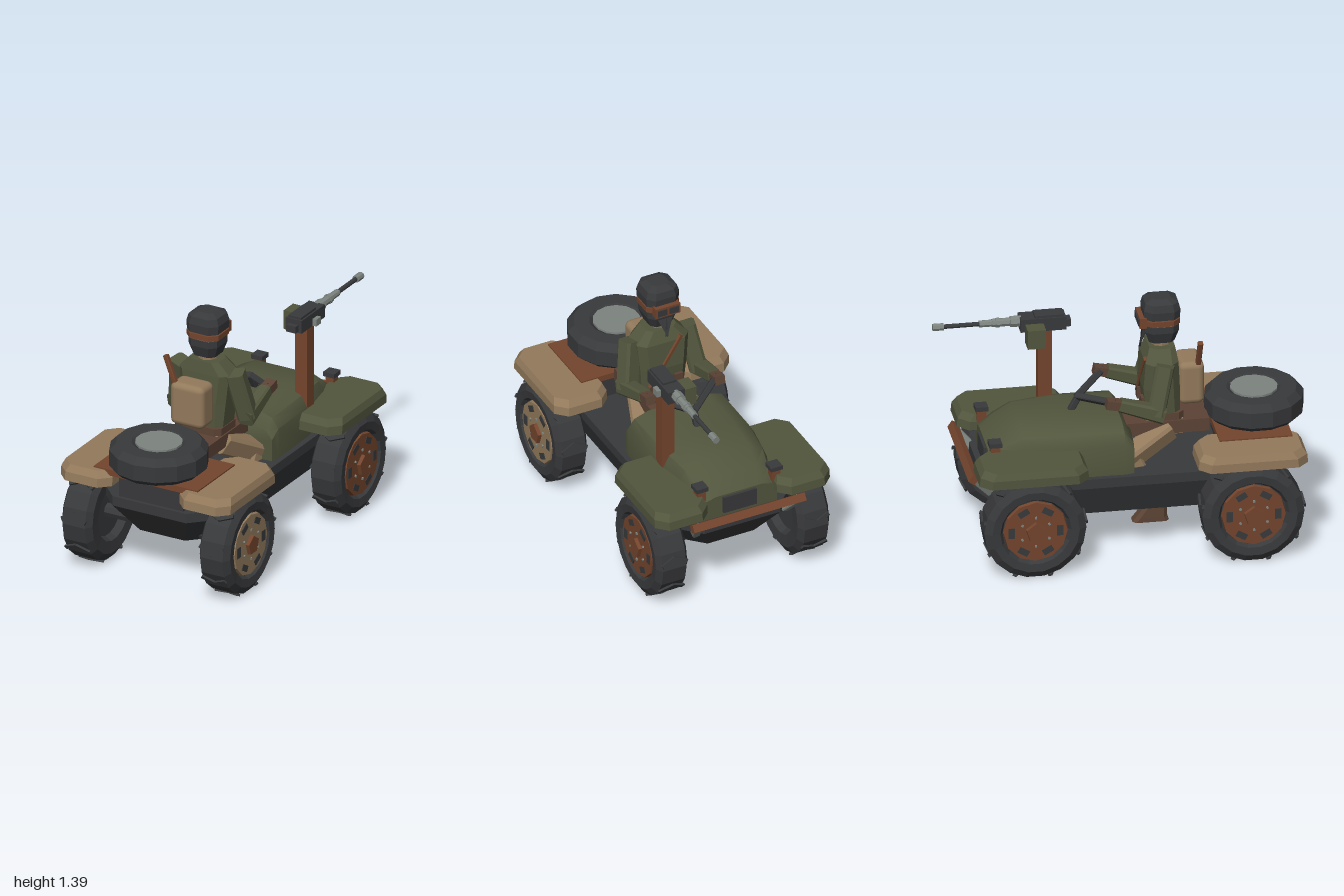
import * as THREE from 'three';
import { toCreasedNormals } from 'three/addons/utils/BufferGeometryUtils.js';
import { RoundedBoxGeometry } from 'three/addons/geometries/RoundedBoxGeometry.js';

const paint = (name, color) => Object.assign(new THREE.MeshStandardMaterial({ color }), { name });
const V = (x, y, z) => new THREE.Vector3(x, y, z);

// Faceted normals for the low-poly style
function facet(geo) {
  const g = geo.index ? geo.toNonIndexed() : geo;
  g.computeVertexNormals();
  return g;
}

// Solid through a list of rings that turn right-handed about the loft direction
function loft(rings) {
  const pos = [], n = rings[0].length;
  const tri = (...p) => p.forEach(v => pos.push(v.x, v.y, v.z));
  for (let r = 0; r < rings.length - 1; r++)
    for (let i = 0; i < n; i++) {
      const j = (i + 1) % n, a = rings[r], b = rings[r + 1];
      tri(a[i], a[j], b[j]);
      tri(a[i], b[j], b[i]);
    }
  const first = rings[0], last = rings[rings.length - 1];
  for (let i = 1; i < n - 1; i++) {
    tri(last[0], last[i], last[i + 1]);
    tri(first[0], first[i + 1], first[i]);
  }
  const g = new THREE.BufferGeometry();
  g.setAttribute('position', new THREE.Float32BufferAttribute(pos, 3));
  g.computeVertexNormals();
  return g;
}

// Box outline with cut corners at height y
function octagon(hx, hz, c, y, cx = 0, cz = 0) {
  const a = hx - c, b = hz - c;
  return [[-a, hz], [a, hz], [hx, b], [hx, -b], [a, -hz], [-a, -hz], [-hx, -b], [-hx, b]]
    .map(([x, z]) => V(cx + x, y, cz + z));
}

export function createModel() {
  const green = paint('olive green', 0x52563d), dark = paint('charcoal', 0x38393b);
  const tan = paint('tan', 0x937a5c), rust = paint('rust', 0x74452d);
  const brown = paint('dark brown', 0x5c4335), grey = paint('metal grey', 0x7d847f);

  const model = new THREE.Group(), buggy = new THREE.Group();
  model.name = 'armedBuggy';
  buggy.name = 'buggyAndDriver';
  buggy.rotation.y = 0.07;
  model.add(buggy);

  function add(name, geo, mat, p = [0, 0, 0], rot = [0, 0, 0], parent = buggy) {
    const m = new THREE.Mesh(geo, mat);
    m.name = name;
    m.position.set(...p);
    m.rotation.set(...rot);
    parent.add(m);
    return m;
  }
  const box = (name, mat, w, h, d, p, rot, parent) =>
    add(name, facet(new THREE.BoxGeometry(w, h, d)), mat, p, rot, parent);
  const cyl = (name, mat, r0, r1, h, n, p, rot, parent) =>
    add(name, facet(new THREE.CylinderGeometry(r0, r1, h, n)), mat, p, rot, parent);
  // Square or tapered bar between two points
  function beam(name, mat, a, b, w, h, taper = 1) {
    const from = V(...a), to = V(...b), len = from.distanceTo(to);
    const g = loft([octagon(w / 2, h / 2, w * 0.15, -len / 2),
      octagon(w * taper / 2, h * taper / 2, w * taper * 0.15, len / 2)]);
    const m = add(name, g, mat);
    m.position.copy(from).lerp(to, 0.5);
    m.quaternion.setFromUnitVectors(V(0, 1, 0), to.sub(from).normalize());
    return m;
  }

  // Chassis tub
  add('chassis', loft([octagon(0.26, 0.68, 0.12, 0.26, 0, 0.03),
    octagon(0.33, 0.82, 0.1, 0.44, 0, 0.03), octagon(0.33, 0.82, 0.1, 0.495, 0, 0.03)]), dark);

  // Rounded hood: z, half width, shoulder height, top height
  const hood = [[0.03, 0.29, 0.62, 0.69], [-0.02, 0.3, 0.67, 0.755], [-0.35, 0.295, 0.67, 0.765],
    [-0.57, 0.265, 0.65, 0.755], [-0.67, 0.245, 0.62, 0.7], [-0.75, 0.23, 0.58, 0.63]]
    .map(([z, w, s, t]) => [[-1, 0.49], [-1, s], [-0.88, (s + 2 * t) / 3], [-0.6, t],
      [0.6, t], [0.88, (s + 2 * t) / 3], [1, s], [1, 0.49]].map(([x, y]) => V(x * w, y, z)));
  add('hood', toCreasedNormals(loft(hood), 0.7), green);
  box('grille', dark, 0.2, 0.1, 0.04, [0, 0.57, -0.745]);

  for (const s of [-1, 1]) {
    // Fenders
    for (const [name, mat, z] of [['frontFender', green, -0.55], ['rearFender', tan, 0.65]])
      add(name, loft([octagon(0.16, 0.3, 0.06, 0.575, s * 0.37, z),
        octagon(0.16, 0.295, 0.06, 0.625, s * 0.37, z),
        octagon(0.145, 0.27, 0.06, 0.662, s * 0.37, z)]), mat);
    // Headlights
    box('headlight', rust, 0.05, 0.07, 0.05, [s * 0.225, 0.66, -0.725]);
    box('headlightHood', dark, 0.07, 0.025, 0.07, [s * 0.225, 0.705, -0.725]);
    // Bumper struts
    beam('bumperStrut', grey, [s * 0.27, 0.44, -0.76], [s * 0.31, 0.55, -0.86], 0.045, 0.045);
  }
  box('bumper', rust, 0.68, 0.045, 0.04, [0, 0.55, -0.86], [0.6, 0, 0]);

  // Wheels
  const tyreProfile = [[0, -0.05], [0.15, -0.05], [0.17, -0.09], [0.24, -0.095], [0.28, -0.07],
    [0.28, 0.07], [0.24, 0.095], [0.195, 0.09], [0.18, 0.065], [0, 0.065]]
    .map(p => new THREE.Vector2(...p));
  function wheel(side, z, rimMat) {
    const g = new THREE.Group();
    g.name = z < 0 ? 'frontWheel' : 'rearWheel';
    g.position.set(side * 0.43, 0.3, z);
    if (side < 0) g.rotation.y = Math.PI;
    buggy.add(g);
    const flip = [0, 0, -Math.PI / 2];
    add('tyre', facet(new THREE.LatheGeometry(tyreProfile, 18)), dark, [0, 0, 0], flip, g);
    cyl('rim', rimMat, 0.175, 0.18, 0.03, 12, [0.07, 0, 0], flip, g);
    add('hub', facet(new THREE.CylinderGeometry(0.055, 0.06, 0.03, 5).rotateY(-Math.PI / 2)),
      rust, [0.09, 0, 0], flip, g);
    for (let i = 0; i < 6; i++) {
      const a = (i + 0.5) * Math.PI / 3, c = Math.cos(a), s = Math.sin(a);
      box('rimSlot', dark, 0.006, 0.035, 0.06, [0.086, c * 0.133, s * 0.133], [a, 0, 0], g);
      box('wheelNut', grey, 0.01, 0.012, 0.012, [0.088, s * 0.085, -c * 0.085], [a, 0, 0], g);
    }
    // Chevron tread bars
    for (let i = 0; i < 9; i++) {
      const bar = new THREE.Group();
      bar.name = 'treadChevron';
      bar.rotation.x = i * Math.PI * 2 / 9;
      g.add(bar);
      for (const s of [-1, 1])
        box('treadBar', dark, 0.085, 0.012, 0.022, [s * 0.036, 0.283, 0], [0, s * 0.45, 0], bar);
    }
    cyl('axle', dark, 0.04, 0.04, 0.2, 8, [-0.12, 0, 0], flip, g);
  }
  wheel(1, 0.645, tan);
  wheel(-1, 0.645, rust);
  wheel(1, -0.55, rust);
  wheel(-1, -0.55, rust);

  // Rear deck and spare wheel
  box('rearDeck', rust, 0.65, 0.035, 0.4, [0, 0.652, 0.69]);
  box('deckSupport', dark, 0.4, 0.15, 0.3, [0, 0.56, 0.68]);
  const spare = [[0, 0.67], [0.24, 0.67], [0.272, 0.7], [0.272, 0.79], [0.235, 0.828],
    [0.15, 0.828], [0.13, 0.815], [0, 0.815]].map(p => new THREE.Vector2(...p));
  add('spareTyre', facet(new THREE.LatheGeometry(spare, 14)), dark, [-0.01, 0, 0.73]);
  cyl('spareDisc', grey, 0.13, 0.13, 0.012, 14, [-0.01, 0.823, 0.73]);

  // Seat
  box('seat', brown, 0.28, 0.075, 0.46, [0, 0.68, 0.235]);

  // Driver's body
  add('torso', loft([octagon(0.125, 0.09, 0.03, 0.73, 0, 0.22), octagon(0.14, 0.1, 0.04, 0.9, 0, 0.21),
    octagon(0.155, 0.09, 0.04, 1.06, 0, 0.21), octagon(0.09, 0.07, 0.03, 1.13, 0, 0.22)]), green);
  add('belt', loft([octagon(0.132, 0.105, 0.03, 0.715, 0, 0.225),
    octagon(0.132, 0.105, 0.03, 0.76, 0, 0.225)]), brown);
  box('hips', tan, 0.24, 0.09, 0.2, [0, 0.675, 0.225]);
  beam('chestStrap', rust, [-0.09, 1.08, 0.125], [0.1, 0.8, 0.112], 0.025, 0.025);
  for (const s of [-1, 1]) {
    box('chestPouch', brown, 0.05, 0.07, 0.03, [s * 0.07, 0.81, 0.115]);
    beam('thigh', tan, [s * 0.1, 0.66, 0.25], [s * 0.18, 0.53, 0.01], 0.11, 0.12);
    beam('shin', tan, [s * 0.18, 0.54, 0.03], [s * 0.165, 0.25, 0.17], 0.09, 0.09);
    add('boot', loft([octagon(0.045, 0.1, 0.02, 0.15, s * 0.163, 0.135),
      octagon(0.045, 0.085, 0.02, 0.175, s * 0.163, 0.14),
      octagon(0.04, 0.045, 0.02, 0.28, s * 0.163, 0.18)]), brown);
    // Arms reaching to the bars
    beam('upperArm', green, [s * 0.17, 1.07, 0.22], [s * 0.215, 0.8, 0.16], 0.095, 0.1);
    beam('forearm', green, [s * 0.22, 0.8, 0.2], [s * 0.21, 0.875, -0.04], 0.09, 0.09, 0.75);
    box('hand', brown, 0.06, 0.05, 0.085, [s * 0.21, 0.88, -0.07], [0.2, 0, 0]);
    beam('handlebar', dark, [s * 0.215, 0.885, -0.06], [0.01, 0.835, -0.235], 0.035, 0.035);
  }
  beam('steeringColumn', dark, [0.01, 0.84, -0.225], [0.01, 0.72, -0.29], 0.035, 0.035);

  // Driver's head
  const ring = (rx, rz, y, cz = 0.22) => octagon(rx, rz, rx * 0.4, y, 0, cz);
  cyl('neck', tan, 0.052, 0.055, 0.1, 8, [0, 1.14, 0.22]);
  add('faceWrap', loft([ring(0.068, 0.07, 1.155), ring(0.09, 0.092, 1.22), ring(0.09, 0.092, 1.258)]), dark);
  add('wrapPoint', loft([[V(0, 1.11, 0.1), V(0.01, 1.11, 0.11), V(-0.01, 1.11, 0.11)],
    [V(0, 1.25, 0.115), V(-0.06, 1.25, 0.14), V(0.06, 1.25, 0.14)].reverse()].map(r => [r[0], r[1], r[2]])),
  dark).material = dark;
  add('face', loft([ring(0.085, 0.085, 1.25), ring(0.085, 0.085, 1.31)]), tan);
  add('goggleStrap', loft([ring(0.099, 0.098, 1.266), ring(0.099, 0.098, 1.296)]), rust);
  box('goggles', rust, 0.15, 0.06, 0.04, [0, 1.283, 0.115]);
  for (const s of [-1, 1]) box('goggleLens', dark, 0.055, 0.038, 0.008, [s * 0.035, 1.283, 0.093]);
  add('helmet', loft([ring(0.097, 0.098, 1.302), ring(0.1, 0.1, 1.35),
    ring(0.088, 0.09, 1.39), ring(0.05, 0.05, 1.41)]), dark);

  // Backpack and stick
  add('backpack', new RoundedBoxGeometry(0.21, 0.25, 0.14, 2, 0.035), tan, [-0.01, 0.915, 0.375]);
  beam('stick', rust, [-0.075, 0.98, 0.41], [-0.15, 1.18, 0.415], 0.028, 0.028);

  // Gun mount
  const gx = 0.257;
  box('gunPost', rust, 0.075, 0.5, 0.075, [gx, 0.9, -0.375]);
  box('gunBody', dark, 0.1, 0.075, 0.25, [gx, 1.18, -0.385]);
  box('gunCover', dark, 0.08, 0.03, 0.16, [gx, 1.215, -0.35]);
  box('gunGrip', dark, 0.06, 0.04, 0.04, [gx, 1.17, -0.25]);
  box('ammoBox', green, 0.09, 0.11, 0.1, [gx - 0.09, 1.135, -0.435]);
  box('gunBolt', grey, 0.03, 0.04, 0.05, [gx + 0.06, 1.165, -0.4]);
  // Barrel pieces: radius, start and end depth
  for (const [name, mat, r, a, b] of [['barrelCollar', grey, 0.032, 0.5, 0.56],
    ['barrelJacket', grey, 0.024, 0.56, 0.66], ['barrelRing', grey, 0.028, 0.62, 0.64],
    ['barrelSleeve', grey, 0.02, 0.66, 0.73], ['barrel', dark, 0.013, 0.73, 0.93],
    ['muzzle', grey, 0.021, 0.925, 0.985]])
    cyl(name, mat, r, r, b - a, 8, [gx, 1.19, -(a + b) / 2], [Math.PI / 2, 0, 0]);

  return model;
}
